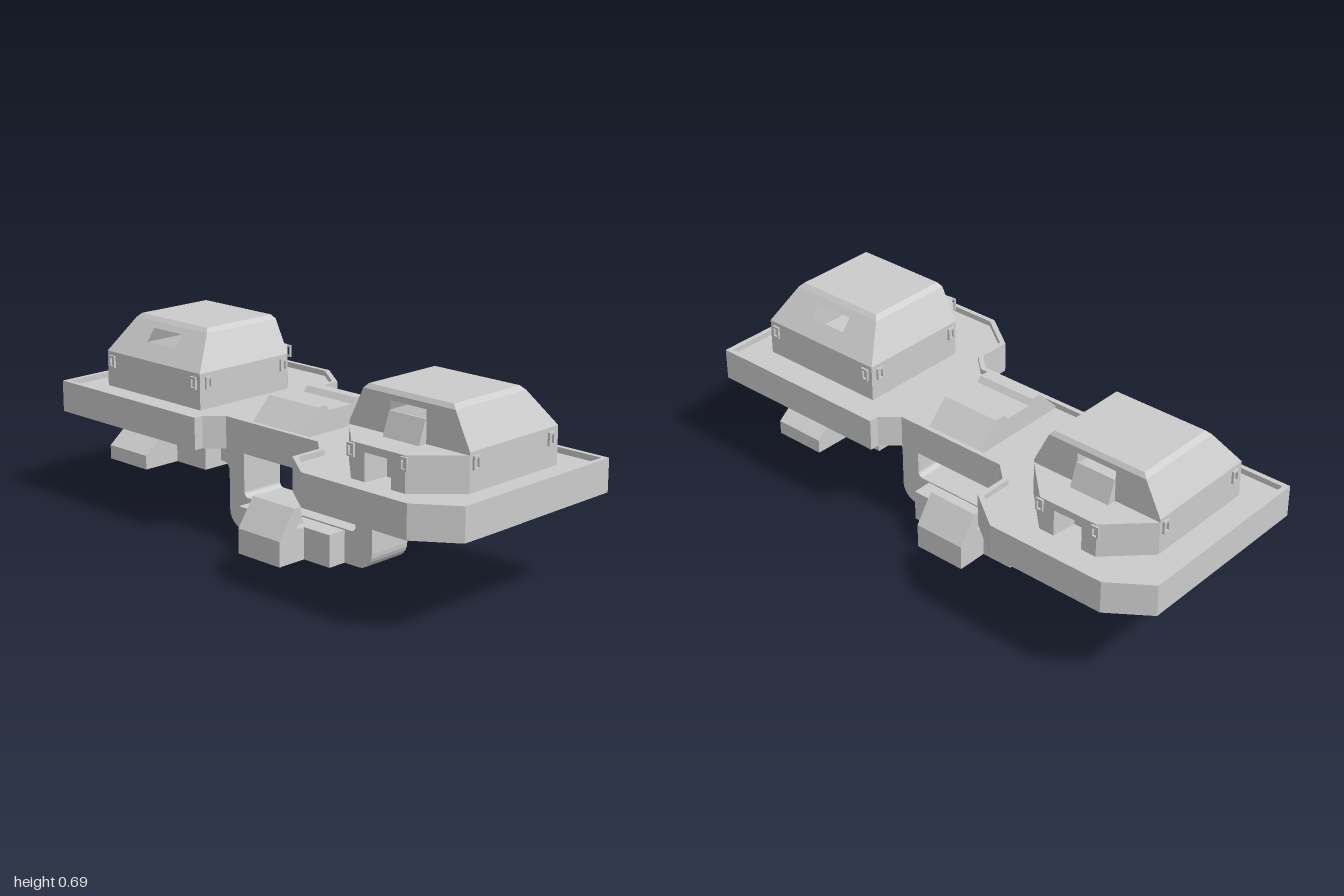
import * as THREE from 'three';

const mat = new THREE.MeshStandardMaterial({ color: 0xcccccc, flatShading: true, side: THREE.DoubleSide });
const shapeOf = (pts) => new THREE.Shape(pts.map(([a, b]) => new THREE.Vector2(a, b)));

function add(parent, name, geo) {
  const mesh = new THREE.Mesh(geo, mat);
  mesh.name = name;
  parent.add(mesh);
  return mesh;
}

function box(parent, name, x0, x1, y0, y1, z0, z1) {
  const m = add(parent, name, new THREE.BoxGeometry(x1 - x0, y1 - y0, z1 - z0));
  m.position.set((x0 + x1) / 2, (y0 + y1) / 2, (z0 + z1) / 2);
  return m;
}

// Plan outline [x, z] raised from y0 to y1
function plan(pts, y0, y1, hole) {
  const flip = (p) => p.map(([x, z]) => [x, -z]);
  const s = shapeOf(flip(pts));
  if (hole) s.holes.push(shapeOf(flip(hole)));
  return new THREE.ExtrudeGeometry(s, { depth: y1 - y0, bevelEnabled: false })
    .rotateX(-Math.PI / 2).translate(0, y0, 0);
}

// Side profile [z, y] swept from x0 to x1
function profile(pts, x0, x1) {
  const s = shapeOf(pts.map(([z, y]) => [-z, y]));
  return new THREE.ExtrudeGeometry(s, { depth: x1 - x0, bevelEnabled: false })
    .rotateY(Math.PI / 2).translate(x0, 0, 0);
}

// Front outline [x, y] swept from z0 to z1
function front(shape, z0, z1) {
  return new THREE.ExtrudeGeometry(shape, { depth: z1 - z0, bevelEnabled: false, curveSegments: 6 })
    .translate(0, 0, z0);
}

// Mitred inward offset of a clockwise [x, -z] outline
function inset(pts, d) {
  const n = pts.length;
  return pts.map((p, i) => {
    const a = pts[(i + n - 1) % n], b = pts[(i + 1) % n];
    const dir = (u, v) => {
      const l = Math.hypot(v[0] - u[0], v[1] - u[1]);
      return [-(v[1] - u[1]) / l, (v[0] - u[0]) / l];
    };
    const n1 = dir(a, p), n2 = dir(p, b);
    const k = d / (1 + n1[0] * n2[0] + n1[1] * n2[1]);
    return [p[0] + (n1[0] + n2[0]) * k, p[1] + (n1[1] + n2[1]) * k];
  });
}

// Polygon with rounded corners; each point is [x, y, radius]
function rounded(pts) {
  const s = new THREE.Shape(), n = pts.length;
  pts.forEach(([x, y, r = 0], i) => {
    const p = new THREE.Vector2(x, y);
    const toward = (q) => new THREE.Vector2(q[0], q[1]).sub(p).setLength(r).add(p);
    const a = r ? toward(pts[(i + n - 1) % n]) : p;
    const b = r ? toward(pts[(i + 1) % n]) : p;
    if (i) s.lineTo(a.x, a.y); else s.moveTo(a.x, a.y);
    if (r) s.bezierCurveTo(a.x + (x - a.x) * 0.55, a.y + (y - a.y) * 0.55,
      b.x + (x - b.x) * 0.55, b.y + (y - b.y) * 0.55, b.x, b.y);
  });
  return s;
}

// Flat panel whose height is y, leaning from depth d0 to d1
function panel(a0, a1, b0, b1, y0, y1, d0, d1, axis, slot) {
  const s = shapeOf([[a0, y0], [a1, y0], [b1, y1], [b0, y1]]);
  if (slot) s.holes.push(shapeOf([[-0.075, 0.615], [0.075, 0.615], [0.075, 0.66], [-0.075, 0.66]]));
  const g = new THREE.ShapeGeometry(s), p = g.attributes.position;
  for (let i = 0; i < p.count; i++) {
    const a = p.getX(i), y = p.getY(i), d = d0 + (d1 - d0) * (y - y0) / (y1 - y0);
    if (axis === 'z') p.setXYZ(i, a, y, d); else p.setXYZ(i, d, y, a);
  }
  g.computeVertexNormals();
  return g;
}

function createHouse() {
  const house = new THREE.Group();
  house.name = 'turretHousing';
  // Hollow shell: [y, half width, back z, front z]
  const levels = [[0.43, 0.25, -0.18, 0.245], [0.56, 0.25, -0.18, 0.245],
    [0.68, 0.19, -0.09, 0.245], [0.695, 0.175, -0.075, 0.235]];
  for (let i = 0; i < 3; i++) {
    const [y0, w0, k0, f0] = levels[i], [y1, w1, k1, f1] = levels[i + 1];
    add(house, 'frontPanel', panel(-w0, w0, -w1, w1, y0, y1, f0, f1, 'z', i === 1));
    add(house, 'backPanel', panel(-w0, w0, -w1, w1, y0, y1, k0, k1, 'z', i === 1));
    for (const s of [-1, 1]) add(house, 'sidePanel', panel(k0, f0, k1, f1, y0, y1, s * w0, s * w1, 'x'));
  }
  add(house, 'roof', plan([[-0.175, -0.075], [0.175, -0.075], [0.175, 0.235], [-0.175, 0.235]], 0.69, 0.695));

  // Chamfered nose with a doorway
  const nose = [[-0.25, 0.24], [0.25, 0.24], [0.25, 0.245], [0.112, 0.38]];
  const tail = [[-0.112, 0.38], [-0.25, 0.245]];
  const door = [[0.055, 0.38], [0.045, 0.29], [-0.045, 0.29], [-0.055, 0.38]];
  add(house, 'nose', plan([...nose, ...door, ...tail], 0.43, 0.525));
  add(house, 'noseTop', plan([...nose, ...tail], 0.525, 0.55));
  add(house, 'slotHood', profile([[0.245, 0.55], [0.278, 0.55], [0.25, 0.63], [0.245, 0.63]], -0.075, 0.075));

  // Small framed fittings around the walls
  const fitting = (x, z, turn) => {
    const s = shapeOf([[-0.014, 0.502], [0.014, 0.502], [0.014, 0.546], [-0.014, 0.546]]);
    s.holes.push(shapeOf([[-0.008, 0.508], [0.008, 0.508], [0.008, 0.538], [-0.008, 0.538]]));
    const m = add(house, 'wallFitting', front(s, 0, 0.008));
    m.position.set(x, 0, z);
    m.rotation.y = turn;
  };
  for (const s of [-1, 1]) {
    fitting(s * 0.11, 0.38, 0);
    fitting(s * 0.22, -0.18, Math.PI);
    for (const z of [0.218, -0.143]) fitting(s * 0.25, z, s * Math.PI / 2);
  }
  house.position.x = 0.64;
  return house;
}

function createHalf() {
  const half = new THREE.Group();
  half.name = 'halfAssembly';
  half.add(createHouse());

  // Mount under the deck
  box(half, 'mountPlate', 0.39, 0.86, 0.32, 0.4, -0.16, 0.16);
  box(half, 'mountBlock', 0.39, 0.77, 0.21, 0.32, -0.16, 0.05);
  add(half, 'mountWedge', front(shapeOf([[0.39, 0.21], [0.51, 0.21], [0.77, 0.31], [0.77, 0.32], [0.39, 0.32]]), 0.05, 0.16));
  add(half, 'mountHook', profile([[-0.15, 0.21], [-0.305, 0.21], [-0.305, 0.26], [-0.23, 0.32], [-0.15, 0.32]], 0.54, 0.735));

  // Clip and hub stub at the bottom
  add(half, 'bottomClip', profile([[0.15, 0], [0.275, 0], [0.275, 0.09], [0.205, 0.19],
    [0.178, 0.19], [0.162, 0.13], [0.19, 0.13], [0.19, 0.115], [0.15, 0.115]], -0.1, 0.1));
  box(half, 'hubShoulder', -0.22, 0.22, 0, 0.115, 0.08, 0.16);
  return half;
}

export function createModel() {
  const model = new THREE.Group();
  model.name = 'twinTurretPlatform';

  // Deck: tall rim around a raised floor, open beneath
  const side = [[0.22, -0.215], [0.28, -0.27], [0.28, -0.305], [1, -0.305], [1, 0.39],
    [0.86, 0.49], [0.42, 0.49], [0.28, 0.39], [0.28, 0.27], [0.22, 0.215]];
  const outline = [...side, ...side.map(([x, z]) => [-x, -z])];
  const inner = inset(outline, 0.018);
  add(model, 'deckRim', plan(outline, 0.335, 0.45, inner));
  add(model, 'deckFloor', plan(inner, 0.395, 0.43));

  // Saddle over the middle of the deck
  add(model, 'saddle', profile([[0.205, 0.43], [0.11, 0.525], [0.07, 0.525], [0.055, 0.505],
    [-0.055, 0.505], [-0.07, 0.525], [-0.11, 0.525], [-0.205, 0.43]], -0.115, 0.115));

  // Cradle hanging below the deck
  const arm = [[0.27, 0.12, 0.02], [0.27, 0.32, 0.05], [0.51, 0.32], [0.51, 0.23],
    [0.345, 0.23, 0.03], [0.345, 0, 0.06]];
  const cradle = [...arm, ...arm.slice().reverse().map(([x, y, r]) => [-x, y, r])];
  add(model, 'cradle', front(rounded(cradle), -0.087, 0.087));

  // Two identical halves, turned half a revolution
  for (const turn of [0, Math.PI]) {
    const half = createHalf();
    half.rotation.y = turn;
    model.add(half);
  }
  return model;
}
